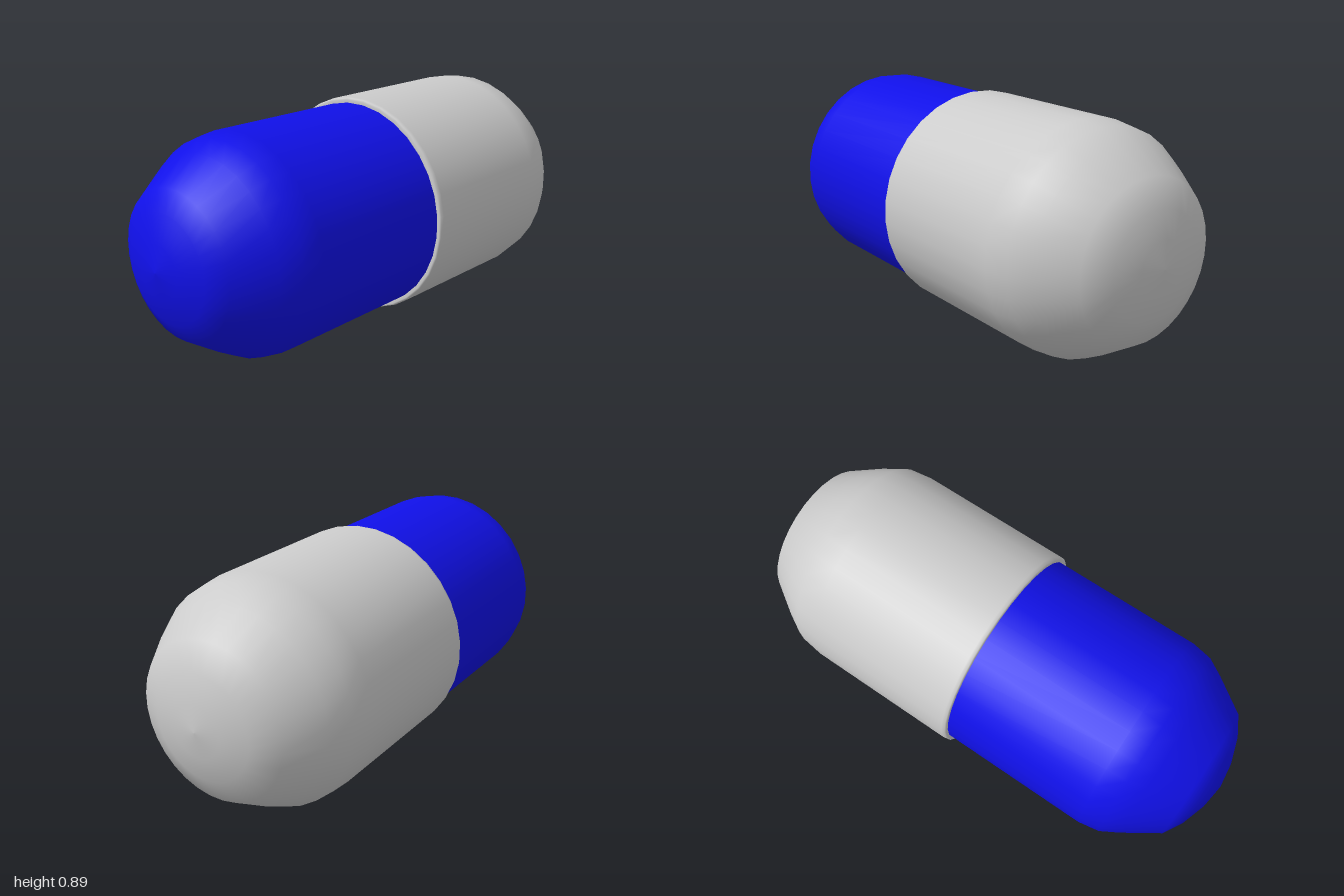
import * as THREE from 'three';

const SIDES = 32;

// Lathe one shell from [radius, distance along the axis] pairs, lowest first
function shell(name, profile, color) {
  const points = profile.map(([r, s]) => new THREE.Vector2(r, s));
  const mesh = new THREE.Mesh(
    new THREE.LatheGeometry(points, SIDES),
    new THREE.MeshStandardMaterial({ color, side: THREE.DoubleSide })
  );
  mesh.name = name;
  return mesh;
}

export function createModel() {
  const capsule = new THREE.Group();
  capsule.name = 'capsule';

  // Narrower coloured half, tucked a little way into the other one
  capsule.add(shell('innerShell', [
    [0, -1.032], [0.1, -1.018], [0.2, -0.985], [0.275, -0.942],
    [0.365, -0.805], [0.405, -0.735], [0.42, -0.65], [0.42, 0.05],
  ], 0x1010e8));

  // Wider grey half with a thin rounded lip
  capsule.add(shell('outerShell', [
    [0.415, -0.03], [0.432, -0.033], [0.438, -0.028], [0.441, -0.015],
    [0.441, 0.62], [0.428, 0.72], [0.385, 0.8], [0.3, 0.935],
    [0.2, 0.985], [0.1, 1.012], [0, 1.022],
  ], 0xcccccc));

  // Lay the long axis down, turned 18 degrees and dipping slightly
  const axis = new THREE.Vector3(0.951, -0.024, -0.309).normalize();
  capsule.quaternion.setFromUnitVectors(new THREE.Vector3(0, 1, 0), axis);
  capsule.position.set(0.003, 0.459, 0.007);

  const model = new THREE.Group();
  model.name = 'pill';
  model.add(capsule);
  return model;
}
